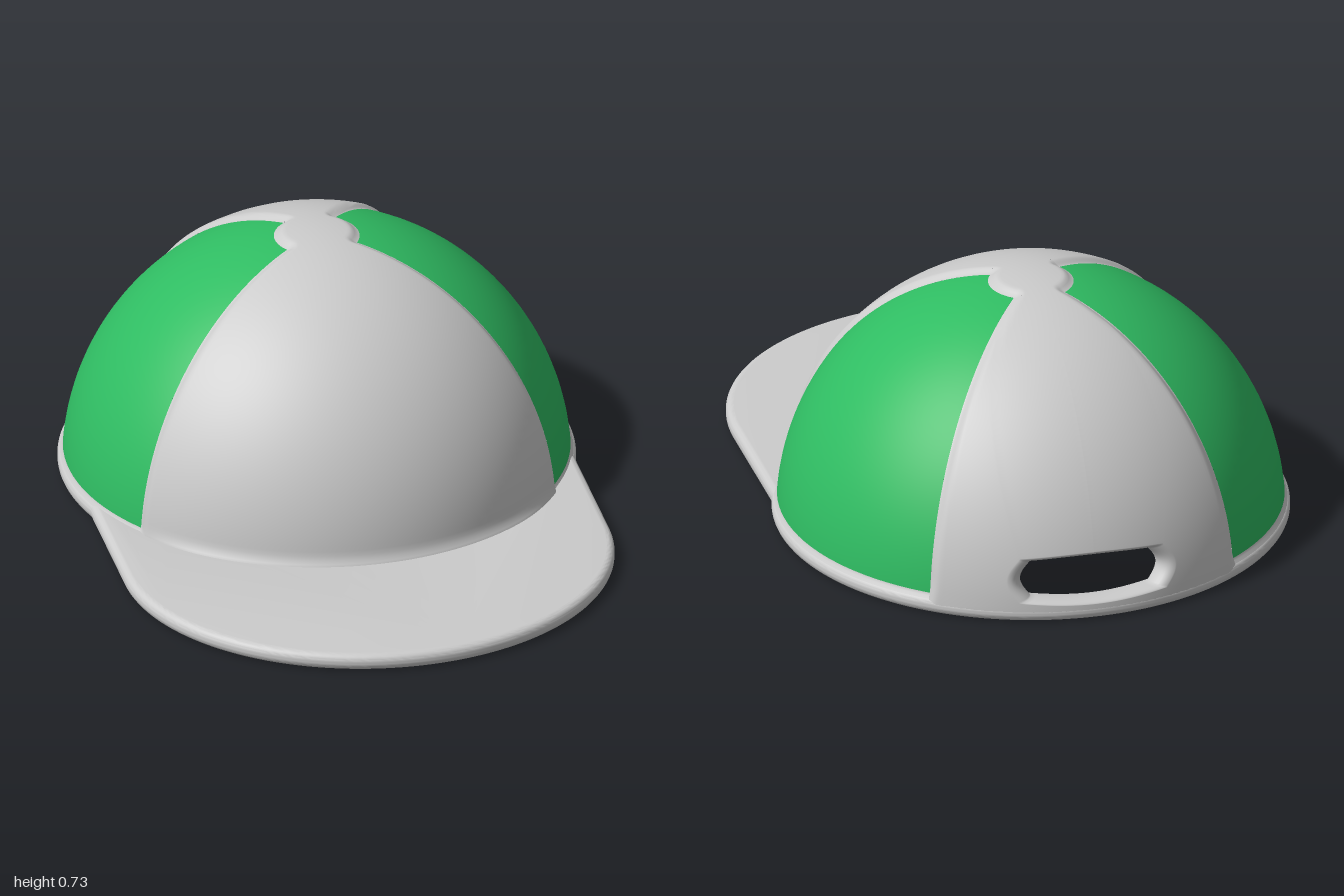
import * as THREE from 'three';
import { toCreasedNormals } from 'three/addons/utils/BufferGeometryUtils.js';

const { degToRad: rad, lerp, clamp, smoothstep } = THREE.MathUtils;
const CZ = -0.28;                                // centre of the crown
const A = 0.72, B = 0.73;                        // crown radius and height
const INNER_A = 0.637, INNER_B = 0.652;          // lining radius and height
const PANEL_FRONT = rad(56.5), PANEL_BACK = rad(142);
const CAP = rad(9.7), HEM = rad(85.4), BASE = rad(88); // polar angles from the top
const RECESS = 0.013;

const ease = (t) => (1 - Math.cos(Math.PI * t)) / 2;

// Grid surface; fn(u, v) returns a Vector3
function sheet(nu, nv, fn, flip = false) {
  const pos = [], index = [];
  for (let j = 0; j <= nv; j++)
    for (let i = 0; i <= nu; i++) pos.push(...fn(i / nu, j / nv).toArray());
  for (let j = 0; j < nv; j++)
    for (let i = 0; i < nu; i++) {
      const a = j * (nu + 1) + i, b = a + 1, d = a + nu + 1, c = d + 1;
      index.push(...(flip ? [a, c, d, a, b, c] : [a, d, c, a, c, b]));
    }
  const geo = new THREE.BufferGeometry();
  geo.setAttribute('position', new THREE.Float32BufferAttribute(pos, 3));
  geo.setIndex(index);
  geo.computeVertexNormals();
  return geo;
}

const ellipsoid = (phi, th, a, b) => new THREE.Vector3(
  a * Math.sin(th) * Math.sin(phi), b * Math.cos(th), CZ + a * Math.sin(th) * Math.cos(phi));

// Crown surface, sinking towards the side panels, with a fillet onto the brim
function outer(phi, th) {
  const f = Math.abs(Math.atan2(Math.sin(phi), Math.cos(phi)));
  const side = Math.max(0, PANEL_FRONT - f, f - PANEL_BACK) * Math.sin(th);
  const dist = A * Math.hypot(side, Math.max(0, CAP - th, th - HEM));
  const sink = RECESS * (1 - smoothstep(dist, 0, 0.03));
  const fillet = 0.014 * clamp(1 - (B * Math.cos(th) - 0.045) / 0.035, 0, 1) ** 2
    * smoothstep(Math.cos(phi), 0.5, 0.8);
  return ellipsoid(phi, th, A - sink + fillet, B - sink);
}
const inner = (phi, th) => ellipsoid(phi, th, INNER_A, INNER_B);

// Patch of a crown surface, with finer cells along its borders
const patch = (surf, p0, p1, t0, t1, nu, nv, flip) => sheet(nu, nv,
  (u, v) => surf(lerp(p0, p1, ease(u)), lerp(t0, t1, ease(v))), flip);

// Back panel: outer face, rounded lip of the opening, then inner face
function backPanel() {
  const holeTh = rad(80.5), holeH = rad(5.9), holeW = rad(20);
  return sheet(128, 64, (u, v) => {
    const t = u * Math.PI * 2, x = Math.sin(t), y = Math.cos(t);
    const m = Math.max(Math.abs(x), Math.abs(y));
    const p = x / m, q = y / m;                  // point on a square
    const a = clamp((v - 0.4) / 0.2, 0, 1) * Math.PI;
    const s = ease(clamp(Math.min(v, 1 - v) / 0.4, 0, 1));
    const shrink = 1 - 0.14 * Math.sin(a);
    const hp = lerp(p, x, 0.5) * shrink, hq = lerp(q, y, 0.5) * shrink;
    const phi = Math.PI + lerp(p * (Math.PI - PANEL_BACK), hp * holeW, s);
    const th = lerp(lerp(BASE, CAP, (q + 1) / 2), holeTh - hq * holeH, s);
    return outer(phi, th).lerp(inner(phi, th), (1 - Math.cos(a)) / 2);
  });
}

// Flat brim and sweat band in one rounded plate
function brimPlate() {
  const R = 0.72, W = 0.69, join = Math.acos(W / R), bevel = 0.022;
  const shape = new THREE.Shape();
  shape.moveTo(W, 0.35);
  shape.absellipse(0, 0.35, W, 0.648, 0, Math.PI, false);
  shape.absarc(0, CZ, R, Math.PI - join, Math.PI * 2 + join, false);
  const hole = new THREE.Path();
  hole.absarc(0, CZ, 0.63, 0, Math.PI * 2, true);
  shape.holes.push(hole);
  const geo = new THREE.ExtrudeGeometry(shape, {
    depth: 0.004, bevelThickness: bevel, bevelSize: bevel, bevelOffset: -bevel,
    bevelSegments: 6, curveSegments: 72,
  });
  geo.rotateX(Math.PI / 2).translate(0, 0.026, 0);
  return toCreasedNormals(geo, 0.3);
}

export function createModel() {
  const group = new THREE.Group();
  const grey = new THREE.MeshStandardMaterial({ color: 0xcccccc });
  const green = new THREE.MeshStandardMaterial({ color: 0x2fbc62 });
  const add = (name, geo, mat = grey) => {
    const mesh = new THREE.Mesh(geo, mat);
    mesh.name = name;
    group.add(mesh);
  };

  // Crown panels
  add('frontPanel', patch(outer, -PANEL_FRONT, PANEL_FRONT, CAP, BASE, 64, 56));
  add('backPanel', backPanel());

  // Recessed side panels, each with a raised hem below
  for (const [side, p0, p1] of [
    ['left', PANEL_FRONT, PANEL_BACK], ['right', -PANEL_BACK, -PANEL_FRONT]]) {
    add(side + 'Panel', patch(outer, p0, p1, CAP, HEM, 40, 48), green);
    add(side + 'Hem', patch(outer, p0, p1, HEM, BASE, 40, 6));
  }

  // Round top where the panels meet
  add('topCap', sheet(160, 16, (u, v) => outer(u * Math.PI * 2, v * CAP)));

  // Lining
  add('lining', patch(inner, -PANEL_BACK, PANEL_BACK, CAP, BASE, 72, 40, true));
  add('liningTop', sheet(64, 6, (u, v) => inner(u * Math.PI * 2, v * CAP), true));

  add('brimAndBand', brimPlate());
  return group;
}
